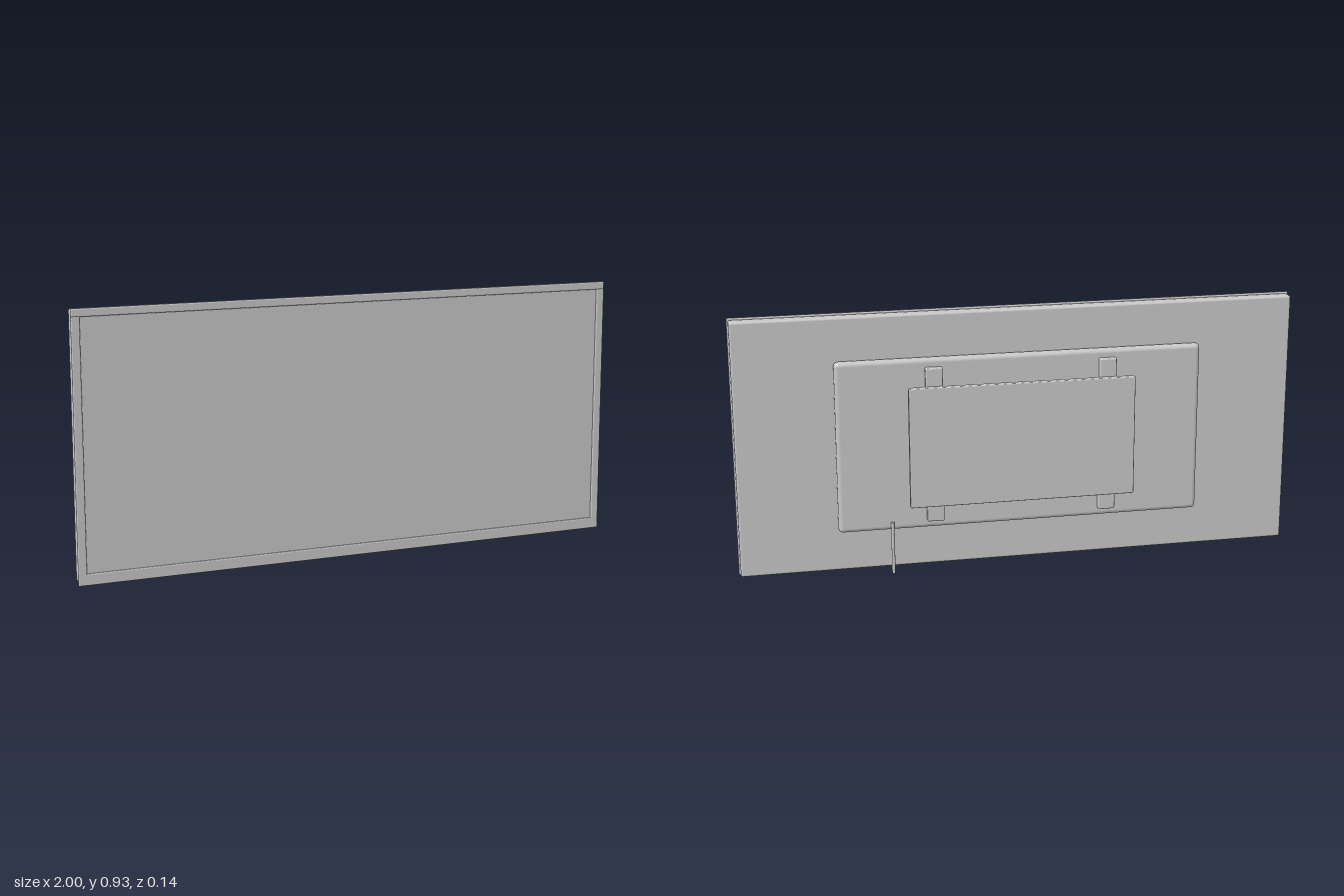
import * as THREE from 'three';
import { RoundedBoxGeometry } from 'three/addons/geometries/RoundedBoxGeometry.js';

const grey = new THREE.MeshStandardMaterial({ color: 0xc7c7c7 });
grey.name = 'lightGrey';

export function createModel() {
  const group = new THREE.Group();
  group.name = 'wallScreen';

  const add = (name, geometry) => {
    const mesh = new THREE.Mesh(geometry, grey);
    mesh.name = name;
    group.add(mesh);
    return mesh;
  };

  // Rounded block given by its limits on each axis
  const block = (name, [x0, x1], [y0, y1], [z0, z1], radius) =>
    add(name, new RoundedBoxGeometry(x1 - x0, y1 - y0, z1 - z0, 4, radius))
      .position.set((x0 + x1) / 2, (y0 + y1) / 2, (z0 + z1) / 2);

  // Main housing and slightly recessed display
  block('housing', [-0.995, 0.995], [0.008, 0.925], [0.014, 0.06], 0.008);
  add('display', new THREE.BoxGeometry(1.95, 0.88, 0.005)).position.set(0, 0.47, 0.06);

  // Four bars of the front frame
  block('frameTop', [-1, 1], [0.902, 0.93], [0.06, 0.07], 0.0045);
  block('frameBottom', [-1, 1], [0, 0.04], [0.06, 0.07], 0.004);
  for (const side of [-1, 1]) {
    const x = side * 0.985;
    block(side > 0 ? 'frameLeft' : 'frameRight', [x - 0.015, x + 0.015], [0.002, 0.906], [0.06, 0.07], 0.0045);
  }

  // Bulging rear cover
  block('rearCover', [-0.65, 0.65], [0.158, 0.775], [-0.0235, 0.0135], 0.016);

  // Wall bracket: two upright rails and a plate
  for (const side of [-1, 1]) {
    const x = side * 0.309;
    block(side > 0 ? 'railLeft' : 'railRight', [x - 0.03, x + 0.03], [0.188, 0.746], [-0.047, -0.0235], 0.005);
  }
  block('wallPlate', [-0.402, 0.402], [0.25, 0.682], [-0.07, -0.047], 0.004);

  // Hanging cable
  add('cable', new THREE.CylinderGeometry(0.006, 0.006, 0.19, 16)).position.set(0.462, 0.095, -0.032);

  return group;
}
